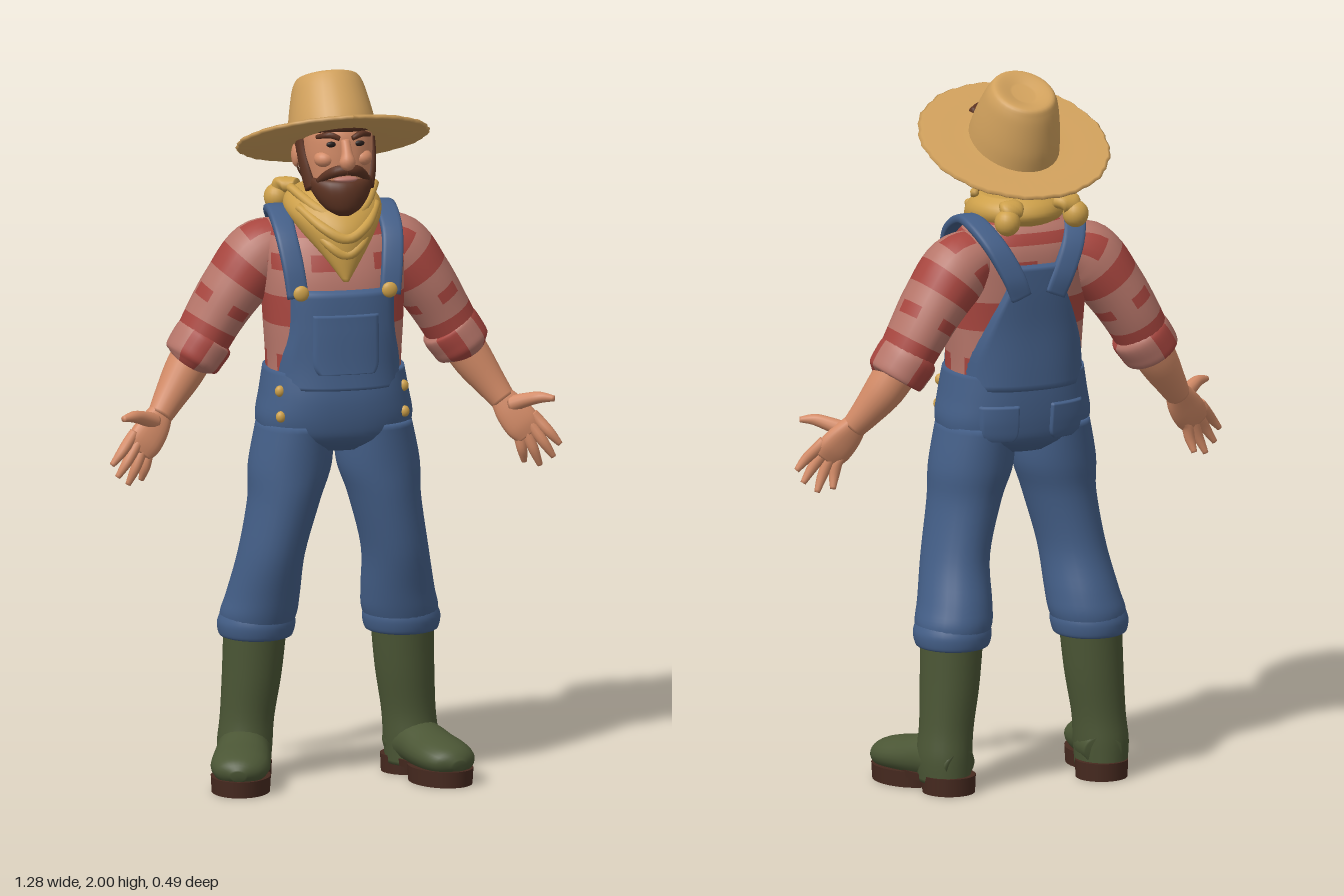
import * as THREE from 'three';

const mat = (name, color, side = THREE.FrontSide) => Object.assign(new THREE.MeshStandardMaterial({ color, side }), { name });
const M = {
  denim: mat('denim', 0x445f88),
  red: mat('shirt red', 0xa8463f),
  pink: mat('shirt pink', 0xb7766a),
  skin: mat('skin', 0xd38b67),
  straw: mat('straw', 0xd0a05c),
  scarf: mat('scarf yellow', 0xcda04a),
  hair: mat('hair brown', 0x5c3322),
  boot: mat('boot green', 0x4b5635),
  sole: mat('sole brown', 0x46291f),
  dark: mat('eye dark', 0x241a18),
};

// Catmull-Rom interpolation of rows of numbers
function sample(rows, u) {
  const n = rows.length - 1, f = Math.min(u * n, n - 1e-9), i = Math.floor(f), t = f - i;
  const r = k => rows[Math.max(0, Math.min(n, k))];
  return r(i).map((b, k) => {
    const a = r(i - 1)[k], c = r(i + 1)[k], d = r(i + 2)[k];
    return b + 0.5 * t * (c - a + t * (2 * a - 5 * b + 4 * c - d + t * (3 * (b - c) + d - a)));
  });
}

// Skin over rings [x, y, z, radius along side, radius across]; flat keeps the rings level
function loft(rows, { side = [1, 0, 0], flat = false, seg = 24, steps = 5, p = 2, pick = null } = {}) {
  const N = (rows.length - 1) * steps, pos = [], faces = [[], []];
  const dir = Math.sign(rows[rows.length - 1][1] - rows[0][1]);
  const at = u => new THREE.Vector3(...sample(rows, Math.max(0, Math.min(1, u))).slice(0, 3));
  const bend = v => Math.sign(v) * Math.abs(v) ** (2 / p);
  for (let i = 0; i <= N; i++) {
    const u = i / N, s = sample(rows, u);
    const t = flat ? new THREE.Vector3(0, dir, 0) : at(u + 0.02).sub(at(u - 0.02)).normalize();
    const sd = new THREE.Vector3(...side).addScaledVector(t, -t.dot(new THREE.Vector3(...side))).normalize();
    const nn = t.clone().cross(sd);
    for (let j = 0; j < seg; j++) {
      const a = j / seg * Math.PI * 2;
      const v = at(u).addScaledVector(sd, s[3] * bend(Math.cos(a))).addScaledVector(nn, s[4] * bend(Math.sin(a)));
      pos.push(v.x, v.y, v.z);
    }
  }
  for (let i = 0; i < N; i++) for (let j = 0; j < seg; j++) {
    const a = i * seg + j, b = i * seg + (j + 1) % seg;
    faces[pick ? pick(i / N, j / seg) : 0].push(a, b, a + seg, b, b + seg, a + seg);
  }
  pos.push(...rows[0].slice(0, 3), ...rows[rows.length - 1].slice(0, 3));
  const c = (N + 1) * seg;
  for (let j = 0; j < seg; j++) {
    const k = (j + 1) % seg;
    faces[0].push(c, k, j, c + 1, N * seg + j, N * seg + k);
  }
  const g = new THREE.BufferGeometry();
  g.setAttribute('position', new THREE.Float32BufferAttribute(pos, 3));
  g.setIndex(faces.flat());
  if (pick) {
    g.addGroup(0, faces[0].length, 0);
    g.addGroup(faces[0].length, faces[1].length, 1);
  }
  g.computeVertexNormals();
  return g;
}

// Body rings: x, y, z, half width, half depth
const TORSO = [[0, 1.08, .01, .19, .152], [0, 1.18, .005, .186, .15], [0, 1.3, .002, .193, .15], [0, 1.42, -.008, .198, .152],
  [0, 1.51, -.025, .195, .138], [0, 1.565, -.035, .168, .112], [0, 1.6, -.03, .12, .09], [0, 1.63, -.02, .06, .06]];
const PELVIS = [[0, .945, .005, .1, .1], [0, .98, .008, .195, .14], [0, 1.03, .01, .217, .156], [0, 1.1, .01, .206, .163], [0, 1.17, .006, .194, .16]];
const P = 2.4;

function surfaceZ(rows, x, y, sign) {
  let lo = 0, hi = 1;
  for (let k = 0; k < 30; k++) { const m = (lo + hi) / 2; if (sample(rows, m)[1] < y) lo = m; else hi = m; }
  const s = sample(rows, lo), q = Math.min(1, Math.abs(x / s[3]));
  return s[2] + sign * s[4] * (1 - q ** P) ** (1 / P);
}

// Cloth panel [y, x0, x1] laid on the body, with its rim tucked in
function panel(body, rows, sign, lift) {
  const R = 24, C = 20, pos = [], idx = [];
  for (let i = 0; i <= R; i++) for (let j = 0; j <= C; j++) {
    const [y, x0, x1] = sample(rows, i / R), x = x0 + (x1 - x0) * j / C;
    const rim = i === 0 || j === 0 || i === R || j === C;
    pos.push(x, y, surfaceZ(body, x, y, sign) + sign * (rim ? -.005 : lift));
  }
  for (let i = 0; i < R; i++) for (let j = 0; j < C; j++) {
    const a = i * (C + 1) + j, b = a + 1, c = a + C + 1, d = c + 1;
    idx.push(...(sign > 0 ? [a, b, c, b, d, c] : [a, c, b, b, c, d]));
  }
  const g = new THREE.BufferGeometry();
  g.setAttribute('position', new THREE.Float32BufferAttribute(pos, 3));
  g.setIndex(idx);
  g.computeVertexNormals();
  return g;
}

export function createModel() {
  const root = new THREE.Group();
  const add = (name, geo, material, parent = root) => {
    const m = new THREE.Mesh(geo, material);
    m.name = name;
    parent.add(m);
    return m;
  };
  const ball = (name, material, p, r, parent = root) => {
    const m = add(name, new THREE.SphereGeometry(1, 20, 14), material, parent);
    m.position.set(...p);
    m.scale.set(...r);
    return m;
  };
  const plaid = (n, cols) => (u, v) => {
    const row = Math.floor(u * n), col = Math.floor(v * cols);
    return row % 2 === 0 || (row % 4 === 1 && col % 2 === 0) ? 1 : 0;
  };
  const shirt = [M.red, M.pink];

  // Shirt body and overalls
  add('shirt', loft(TORSO, { flat: true, seg: 48, steps: 6, p: P, pick: plaid(11, 16) }), shirt);
  add('overallsHips', loft(PELVIS, { flat: true, seg: 40, p: P }), M.denim);
  add('bib', panel(TORSO, [[1.12, -.185, .185], [1.2, -.172, .172], [1.29, -.152, .152], [1.405, -.15, .15]], 1, .016), M.denim);
  add('bibPocket', panel(TORSO, [[1.17, -.085, .085], [1.2, -.1, .1], [1.28, -.1, .1], [1.34, -.1, .1]], 1, .025), M.denim);
  add('backPanel', panel(TORSO, [[1.12, -.186, .186], [1.22, -.172, .172], [1.33, -.13, .13], [1.42, -.09, .09], [1.49, -.075, .075]], -1, .014), M.denim);

  for (const s of [1, -1]) {
    const mx = rows => rows.map(([x, ...r]) => [x * s, ...r]);
    const side = s > 0 ? 'left' : 'right';
    const part = (name, rows, material, o) => add(side + name, loft(mx(rows), o), material);

    part('Strap', [[.13, 1.385, .135, .03, .012], [.14, 1.47, .118, .03, .012], [.15, 1.55, .075, .03, .012], [.15, 1.6, -.01, .032, .013],
      [.145, 1.595, -.08, .032, .013], [.115, 1.54, -.145, .032, .013], [.075, 1.46, -.172, .032, .012], [.05, 1.4, -.17, .03, .01]], M.denim, { seg: 16, p: 4 });
    ball(side + 'StrapButton', M.scarf, [.125 * s, 1.4, .152], [.022, .022, .012]);
    for (const y of [1.05, 1.12]) ball(side + 'HipButton', M.scarf, [.175 * s, y, surfaceZ(PELVIS, .175, y, 1)], [.014, .016, .012]);
    const bp = [[.985, .06, .13], [1.01, .045, .15], [1.09, .045, .155]].map(([y, a, b]) => s > 0 ? [y, a, b] : [y, -b, -a]);
    add(side + 'BackPocket', panel(PELVIS, bp, -1, .009), M.denim);

    // Trouser leg and rolled hem
    part('TrouserLeg', [[.205, .42, -.05, .092, .1], [.2, .47, -.045, .106, .113], [.19, .53, -.03, .101, .115], [.174, .65, .003, .092, .114],
      [.142, .8, .016, .1, .12], [.124, .9, .012, .115, .13], [.11, 1.02, .01, .105, .14]], M.denim, { flat: true, seg: 28 });
    part('TrouserHem', [[.206, .405, -.05, .09, .095], [.206, .412, -.05, .102, .106], [.205, .445, -.048, .108, .112], [.203, .475, -.046, .1, .105]], M.denim, { flat: true, seg: 28 });

    // Boot
    part('BootShaft', [[.235, .03, -.06, .07, .085], [.235, .1, -.06, .076, .085], [.228, .18, -.06, .075, .079], [.216, .3, -.055, .082, .086], [.208, .43, -.05, .087, .092]], M.boot, { flat: true });
    const foot = new THREE.Group();
    foot.name = side + 'Foot';
    foot.position.set(.235 * s, 0, -.06);
    foot.rotation.y = .3 * s;
    root.add(foot);
    add('bootFoot', loft([[0, .08, -.07, .05, .045], [0, .09, -.02, .074, .062], [0, .09, .05, .074, .064], [0, .08, .12, .08, .056],
      [0, .073, .19, .081, .049], [0, .066, .24, .062, .038], [0, .06, .266, .02, .015]]), M.boot, foot);
    for (const [name, z, rx, rz, h] of [['frontSole', .16, .083, .112, .045], ['heel', -.02, .074, .076, .05], ['solePlate', .06, .066, .14, .02]]) {
      const m = add(name, new THREE.CylinderGeometry(1, .97, h, 28), M.sole, foot);
      m.position.set(0, name === 'solePlate' ? .04 : h / 2, z);
      m.scale.set(rx, 1, rz);
    }

    // Sleeve, rolled cuff and forearm
    const zs = { side: [0, 0, 1], seg: 24 };
    part('Sleeve', [[.11, 1.51, -.055, .075, .065], [.19, 1.475, -.06, .096, .096], [.265, 1.385, -.065, .1, .088], [.32, 1.3, -.07, .095, .08], [.37, 1.21, -.068, .084, .074]],
      shirt, { ...zs, steps: 6, pick: plaid(9, 8) });
    part('SleeveCuff', [[.337, 1.255, -.07, .08, .07], [.345, 1.244, -.07, .094, .083], [.368, 1.212, -.068, .094, .083], [.385, 1.185, -.066, .088, .078], [.388, 1.18, -.066, .06, .055]],
      shirt, { ...zs, pick: (u, v) => Math.floor(v * 8) % 3 === 0 ? 0 : 1 });
    part('Forearm', [[.36, 1.23, -.07, .06, .06], [.41, 1.15, -.056, .056, .056], [.455, 1.085, -.034, .042, .044], [.487, 1.04, -.014, .031, .035]], M.skin, zs);

    // Hand
    part('Palm', [[.475, 1.06, -.022, .026, .03], [.505, 1.015, -.004, .026, .046], [.535, .975, .01, .023, .05], [.555, .948, .018, .014, .04]], M.skin, { ...zs, p: 2.4 });
    const tips = [[.578, .985, .018, .634, .92, .04], [.562, .966, .02, .617, .884, .034], [.544, .95, .016, .583, .859, .016], [.525, .94, .01, .542, .868, .0]];
    for (const [x, y, z, X, Y, Z] of tips)
      part('Finger', [[x - .015, y + .02, z - .006, .014, .014], [x, y, z, .016, .016], [(x + X) / 2, (y + Y) / 2, (z + Z) / 2 + .006, .0145, .0145], [X, Y, Z, .008, .008]], M.skin, { ...zs, seg: 12 });
    part('Thumb', [[.505, 1.03, .0, .024, .024], [.54, 1.045, .025, .02, .02], [.575, 1.056, .052, .016, .016], [.61, 1.055, .072, .008, .008]], M.skin, { ...zs, seg: 12 });

    // Face details in pairs
    ball(side + 'Ear', M.skin, [.103 * s, 1.76, .0], [.014, .034, .022]);
    ball(side + 'Eye', M.dark, [.04 * s, 1.815, .15], [.014, .008, .006]);
    ball(side + 'Cheek', M.skin, [.052 * s, 1.77, .122], [.03, .024, .03]);
    part('Eyebrow', [[.018, 1.832, .16, .006, .007], [.045, 1.842, .152, .008, .009], [.075, 1.832, .122, .005, .006]], M.hair, { side: [0, 0, 1], seg: 10 });
    part('Sideburn', [[.075, 1.68, .08, .03, .022], [.09, 1.73, .06, .034, .016], [.098, 1.79, .035, .03, .013], [.095, 1.85, .02, .03, .012]], M.hair, { side: [0, 0, 1], seg: 14 });
    part('Moustache', [[-.004, 1.745, .172, .012, .014], [.025, 1.742, .164, .014, .016], [.05, 1.728, .143, .012, .013], [.07, 1.708, .12, .008, .008]], M.hair, { side: [0, 0, 1], seg: 12 });

    // Scarf knots at the back
    const kx = s > 0 ? .09 : -.125, kz = s > 0 ? -.165 : -.14;
    ball(side + 'ScarfKnot', M.scarf, [kx, 1.615, kz], [.036, .038, .036]);
    add(side + 'ScarfTail', loft([[kx * .6, 1.65, kz + .03, .025, .02], [kx * .85, 1.648, kz + .008, .036, .024], [kx, 1.63, kz, .02, .02]]), M.scarf);
  }

  // Neck, head, hair and beard
  add('neck', loft([[0, 1.54, -.02, .08, .08], [0, 1.62, -.005, .068, .07], [0, 1.72, .01, .07, .075]], { flat: true }), M.skin);
  add('head', loft([[0, 1.635, .1, .035, .035], [0, 1.67, .075, .07, .075], [0, 1.73, .05, .09, .105], [0, 1.79, .043, .097, .114], [0, 1.85, .035, .094, .114], [0, 1.9, .02, .07, .085]], { flat: true, p: 2.2 }), M.skin);
  const hair = add('hair', new THREE.SphereGeometry(1, 28, 18, Math.PI - .2, Math.PI + .4), M.hair);
  hair.position.set(0, 1.775, .0);
  hair.scale.set(.11, .13, .102);
  add('forelock', loft([[-.07, 1.86, .125, .014, .016], [-.02, 1.868, .152, .016, .018], [.03, 1.866, .15, .016, .018], [.07, 1.86, .125, .012, .014]], { side: [0, 0, 1], seg: 12 }), M.hair);
  add('beard', loft([[0, 1.612, .13, .02, .02], [0, 1.63, .12, .05, .048], [0, 1.66, .103, .074, .072], [0, 1.69, .085, .088, .088], [0, 1.71, .07, .09, .092], [0, 1.718, .06, .08, .08]], { flat: true }), M.hair);
  ball('mouth', M.pink, [0, 1.716, .154], [.034, .009, .014]);
  add('nose', loft([[0, 1.825, .15, .013, .012], [0, 1.79, .168, .016, .018], [0, 1.768, .176, .023, .022], [0, 1.752, .168, .016, .014]], { seg: 16 }), M.skin);

  // Scarf
  add('scarf', loft([[0, 1.43, .156, .008, .012], [0, 1.5, .122, .058, .052], [0, 1.56, .045, .108, .128], [0, 1.605, .0, .134, .148], [0, 1.64, -.018, .128, .128], [0, 1.665, -.02, .098, .096]], { flat: true, seg: 32 }), M.scarf);
  for (const [y, w, z, d] of [[1.53, .085, .175, .09], [1.575, .11, .177, .12], [1.62, .12, .135, .14]])
    add('scarfFold', loft([[-w, y + .05, z - d, .012, .012], [-w * .55, y + .005, z - d * .28, .014, .014], [0, y - .025, z - .012, .016, .016], [w * .55, y + .005, z - d * .28, .014, .014], [w, y + .05, z - d, .012, .012]],
      { side: [0, 0, 1], seg: 12 }), M.scarf);

  // Straw hat, tilted back
  const hat = new THREE.Group();
  hat.name = 'hat';
  hat.position.set(0, 1.8, 0);
  hat.rotation.x = -.42;
  root.add(hat);
  const brim = new THREE.LatheGeometry([[.09, -.008], [.18, -.011], [.262, -.005], [.268, .002], [.26, .008], [.18, .003], [.09, .008]].map(p => new THREE.Vector2(...p)), 96);
  const bp = brim.attributes.position;
  for (let i = 0; i < bp.count; i++) {
    const x = bp.getX(i), z = bp.getZ(i), r = Math.hypot(x, z), a = Math.atan2(z, x);
    const k = r > .25 ? 1 + .008 * Math.sin(a * 32) + .006 * Math.sin(a * 13) : 1;
    bp.setXYZ(i, x * k, bp.getY(i), z * k);
  }
  brim.computeVertexNormals();
  add('hatBrim', brim, M.straw, hat);
  add('hatCrown', loft([[0, -.002, 0, .124, .15], [0, .05, 0, .118, .142], [0, .11, 0, .107, .124], [0, .155, 0, .095, .106], [0, .175, 0, .076, .088], [0, .164, 0, .03, .04]], { flat: true, seg: 32 }), M.straw, hat);
  return root;
}
